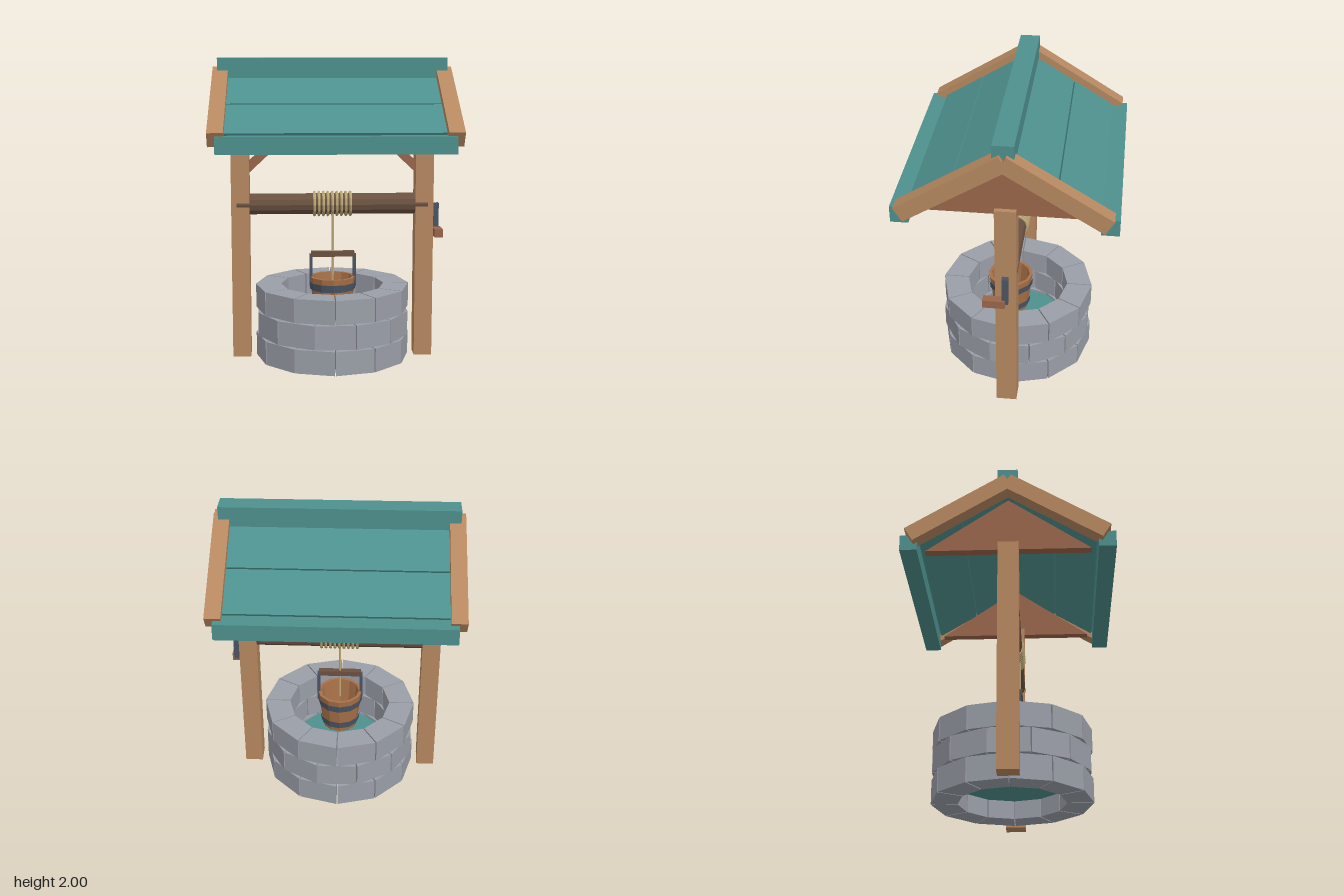
import * as THREE from 'three';

const mat = (name, color) => {
  const m = new THREE.MeshStandardMaterial({ color, flatShading: true });
  m.name = name;
  return m;
};

export function createModel() {
  const stone = mat('grey stone', 0x9a9ea7);
  const wood = mat('light timber', 0xb68860);
  const redWood = mat('reddish timber', 0x99664b);
  const darkWood = mat('dark timber', 0x6a5141);
  const bucketWood = mat('bucket wood', 0xa87148);
  const iron = mat('iron', 0x4a5463);
  const rope = mat('rope', 0xbba675);
  const teal = mat('teal', 0x4d908d);

  const model = new THREE.Group();
  model.name = 'waterWell';

  const add = (name, geometry, material, x = 0, y = 0, z = 0, parent = model) => {
    const mesh = new THREE.Mesh(geometry, material);
    mesh.name = name;
    mesh.position.set(x, y, z);
    parent.add(mesh);
    return mesh;
  };
  const box = (name, material, w, h, d, x, y, z, parent) =>
    add(name, new THREE.BoxGeometry(w, h, d), material, x, y, z, parent);
  const group = (name, parent = model) => {
    const g = new THREE.Group();
    g.name = name;
    parent.add(g);
    return g;
  };

  // Stone wall: three staggered rings of twelve wedge blocks
  const wall = group('stoneWall');
  const half = Math.PI / 12;
  const corner = (r, a, gap) => new THREE.Vector2(r * Math.cos(a) - gap * Math.sin(a), r * Math.sin(a) + gap * Math.cos(a));
  const block = new THREE.ExtrudeGeometry(new THREE.Shape([
    corner(0.345, -half, 0.004), corner(0.515, -half, 0.004),
    corner(0.515, half, -0.004), corner(0.345, half, -0.004),
  ]), { depth: 0.157, bevelEnabled: false });
  block.rotateX(-Math.PI / 2);
  for (let row = 0; row < 3; row++) {
    for (let i = 0; i < 12; i++) {
      const s = add('stoneBlock', block, stone, 0, row * 0.166, 0, wall);
      s.rotation.y = (i * 2 + (row % 2 ? 0 : 1)) * half;
    }
  }
  add('water', new THREE.CylinderGeometry(0.35, 0.35, 0.02, 12), teal, 0, 0.13, 0);

  // Posts, braces and gable boards, mirrored left and right
  const gable = new THREE.ExtrudeGeometry(new THREE.Shape([
    new THREE.Vector2(-0.53, 1.47), new THREE.Vector2(0.53, 1.47), new THREE.Vector2(0, 1.84),
  ]), { depth: 0.06, bevelEnabled: false });
  gable.translate(0, 0, -0.03).rotateY(Math.PI / 2);
  for (const s of [-1, 1]) {
    box('post', wood, 0.12, 1.51, 0.133, s * 0.612, 0.755, 0);
    box('brace', redWood, 0.32, 0.058, 0.06, s * 0.46, 1.372, 0).rotation.z = -s * 0.75;
    add('gableBoard', gable, redWood, s * 0.61, 0, 0);
  }

  // Roof: planks and rafters on both slopes, eave beams and ridge
  const roof = group('roof');
  for (const s of [-1, 1]) {
    const slope = group('roofSlope', roof);
    slope.position.set(0, 1.706, s * 0.308);
    slope.rotation.x = s * 0.553;
    for (const k of [-1, 1]) {
      box('roofPlank', teal, 1.4, 0.03, 0.305, 0, -0.007, k * 0.1575, slope);
      box('rafter', wood, 0.1, 0.104, 0.736, k * 0.73, 0, 0, slope);
    }
    box('eaveBeam', teal, 1.46, 0.107, 0.11, 0, 1.482, s * 0.625, roof);
  }
  box('ridgeBeam', teal, 1.5, 0.13, 0.13, 0, 1.935, 0, roof);

  // Windlass drum with coiled rope
  const drum = new THREE.CylinderGeometry(0.07, 0.07, 1.27, 12);
  drum.rotateZ(Math.PI / 2);
  add('drum', drum, darkWood, 0, 1.034, 0);
  const coil = new THREE.TorusGeometry(0.077, 0.01, 6, 12);
  coil.rotateY(Math.PI / 2);
  for (let i = -4; i <= 4; i++) add('ropeCoil', coil, rope, i * 0.03, 1.034, 0);
  add('hangingRope', new THREE.CylinderGeometry(0.009, 0.009, 0.52, 6), rope, 0, 0.76, 0.05);

  // Crank on the left side
  box('crankArm', iron, 0.036, 0.19, 0.04, 0.697, 0.94, 0);
  box('crankHandle', redWood, 0.056, 0.054, 0.14, 0.701, 0.848, 0.07);

  // Bucket with hollow inside, iron hoops and handle
  const bucket = group('bucket');
  bucket.position.z = 0.05;
  const profile = [[0, 0.28], [0.12, 0.28], [0.153, 0.55], [0.132, 0.55], [0.105, 0.31], [0, 0.31]];
  add('bucketBody', new THREE.LatheGeometry(profile.map(p => new THREE.Vector2(...p)), 12), bucketWood, 0, 0, 0, bucket);
  for (const [y, r] of [[0.49, 0.154], [0.34, 0.136]]) {
    add('hoop', new THREE.CylinderGeometry(r + 0.003, r - 0.003, 0.05, 12), iron, 0, y, 0, bucket).scale.y = 1;
  }
  // Rim disc keeps the hoops hollow by covering only their outside
  bucket.children.filter(c => c.name === 'hoop').forEach(h => {
    const p = h.geometry.parameters;
    h.geometry = new THREE.CylinderGeometry(p.radiusTop, p.radiusBottom, p.height, 12, 1, true);
  });
  for (const s of [-1, 1]) box('handleStrap', iron, 0.02, 0.22, 0.03, s * 0.146, 0.592, 0, bucket);
  box('handleBar', darkWood, 0.29, 0.036, 0.04, 0, 0.702, 0, bucket);

  return model;
}
